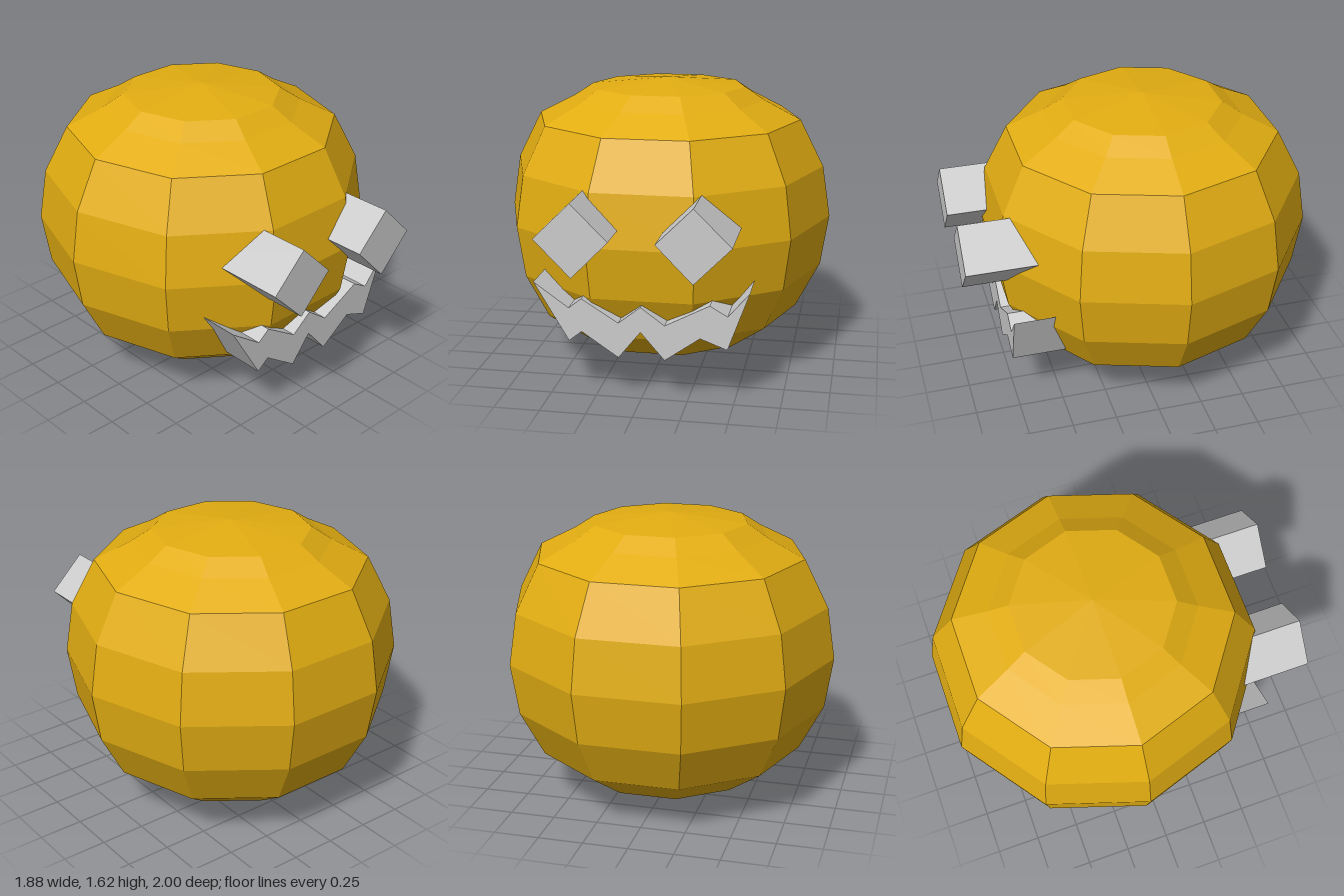
import * as THREE from 'three';

const BODY_Z = -0.105;
const FRONT_Z = 1;

function extrudeOutline(points, zBack, zFront, material, name) {
  const shape = new THREE.Shape(points.map(([x, y]) => new THREE.Vector2(x, y)));
  const geometry = new THREE.ExtrudeGeometry(shape, { depth: zFront - zBack, bevelEnabled: false });
  geometry.translate(0, 0, zBack);
  const mesh = new THREE.Mesh(geometry, material);
  mesh.name = name;
  return mesh;
}

export function createModel() {
  const group = new THREE.Group();
  group.name = 'pumpkin';
  const orange = new THREE.MeshStandardMaterial({ color: 0xe2ad12, flatShading: true });
  const grey = new THREE.MeshStandardMaterial({ color: 0xcccccc, flatShading: true });

  // Ten-sided body, with a flat facet facing front and a slightly flattened crown
  const profile = [
    [0, 0], [0.29, 0.05], [0.52, 0.12], [0.76, 0.29], [0.895, 0.55], [0.94, 0.84],
    [0.895, 1.13], [0.76, 1.395], [0.555, 1.5], [0.44, 1.575], [0, 1.62],
  ].map(([r, y]) => new THREE.Vector2(r, y));
  const body = new THREE.Mesh(new THREE.LatheGeometry(profile, 10, Math.PI / 2), orange);
  body.position.z = BODY_Z;
  body.name = 'body';
  group.add(body);

  // Diamond eyes reaching out of the face
  for (const [side, name] of [[1, 'leftEye'], [-1, 'rightEye']]) {
    const outline = [[0.315, 0.74], [0.512, 0.94], [0.315, 1.135], [0.12, 0.94]];
    group.add(extrudeOutline(outline.map(([x, y]) => [side * x, y]), 0.4, FRONT_Z, grey, name));
  }

  // Jagged grin
  const grin = [
    [-0.58, 0.635], [-0.39, 0.315], [-0.32, 0.37], [-0.12, 0.235], [0, 0.385], [0.13, 0.235],
    [0.32, 0.37], [0.465, 0.315], [0.58, 0.635], [0.465, 0.5], [0.37, 0.555], [0.13, 0.43],
    [0, 0.525], [-0.12, 0.43], [-0.32, 0.555], [-0.39, 0.5],
  ];
  group.add(extrudeOutline(grin, 0.4, 0.77, grey, 'mouth'));

  return group;
}
